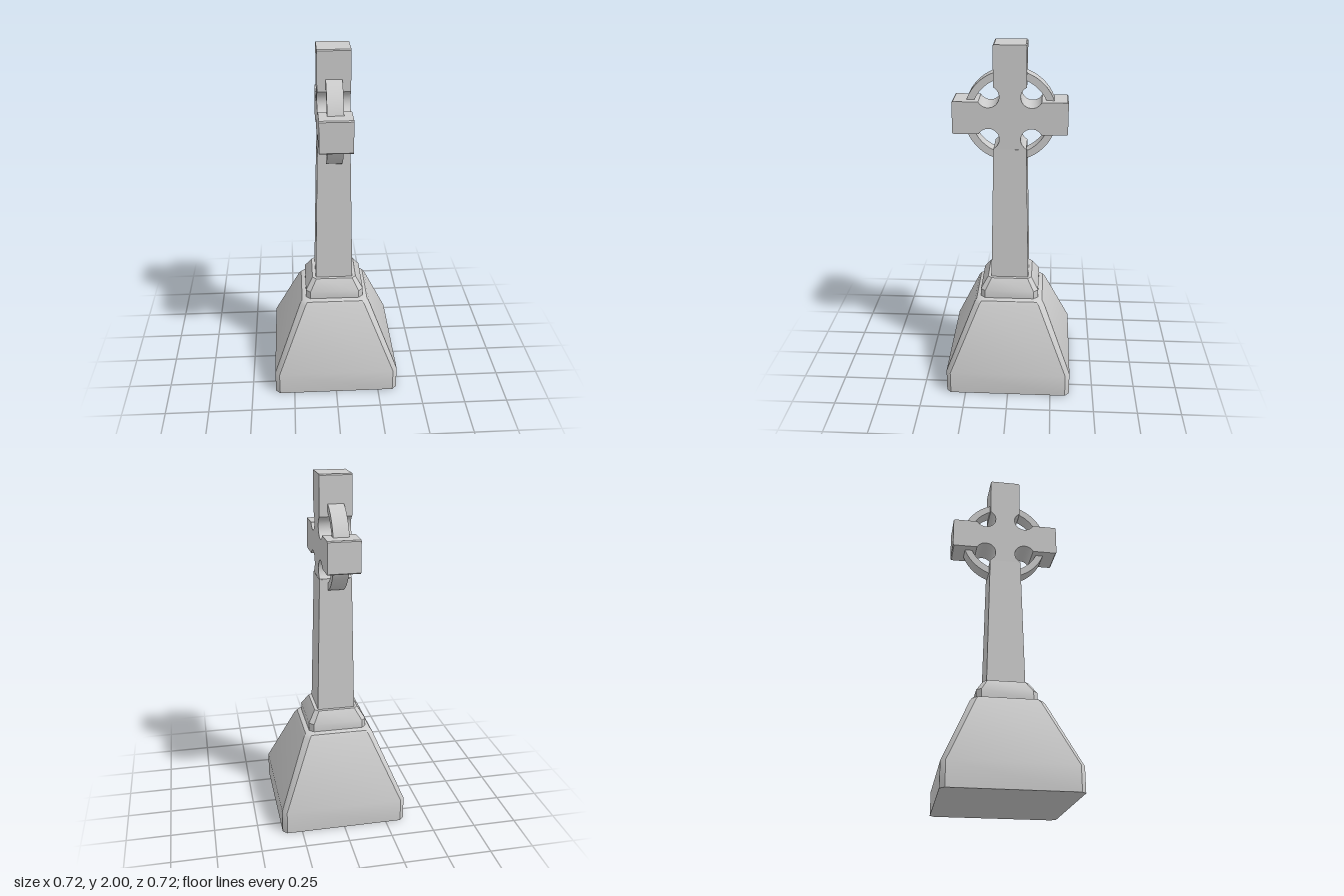
import * as THREE from 'three';
import { toCreasedNormals } from 'three/addons/utils/BufferGeometryUtils.js';

const material = new THREE.MeshStandardMaterial({ color: 0xcccccc });
const CREASE = 0.62;

function addPart(group, name, geometry) {
  const mesh = new THREE.Mesh(toCreasedNormals(geometry, CREASE), material);
  mesh.name = name;
  group.add(mesh);
  return mesh;
}

// Stacks square sections [y, half width, corner chamfer] into a closed solid
function loftSquare(sections) {
  const rings = sections.map(([y, h, c]) => {
    const ring = [];
    for (let k = 0; k < 4; k++) {
      const a = k * Math.PI / 2, cos = Math.cos(a), sin = Math.sin(a);
      const corner = c > 0 ? [[h, h - c], [h - c, h]] : [[h, h]];
      for (const [x, z] of corner) {
        ring.push(new THREE.Vector3(x * cos - z * sin, y, x * sin + z * cos));
      }
    }
    return ring;
  });
  const points = [];
  const n = rings[0].length, last = rings.length - 1;
  const bottom = new THREE.Vector3(0, sections[0][0], 0);
  const top = new THREE.Vector3(0, sections[last][0], 0);
  for (let i = 0; i < n; i++) {
    const j = (i + 1) % n;
    for (let r = 0; r < last; r++) {
      const lo = rings[r], hi = rings[r + 1];
      points.push(lo[i], hi[i], hi[j], lo[i], hi[j], lo[j]);
    }
    points.push(bottom, rings[0][i], rings[0][j]);
    points.push(top, rings[last][j], rings[last][i]);
  }
  return new THREE.BufferGeometry().setFromPoints(points);
}

// Extrudes a shape drawn in (z, y) evenly to both sides of x = 0
function extrudeAcross(shape, width, curveSegments = 24) {
  const g = new THREE.ExtrudeGeometry(shape, { depth: width, bevelEnabled: false, curveSegments });
  return g.translate(0, 0, -width / 2).rotateY(-Math.PI / 2);
}

// Four arms with round notches in the inner corners
function crossShape() {
  const w = 0.09, centre = 0.118, radius = 0.06;
  const start = Math.asin((w - centre) / radius);
  const end = -1.5 * Math.PI - start;
  const arms = [[0.315, 0.006], [0.395, 0.006], [0.315, 0.006], [0.175, 0]]; // length, chamfer
  const points = [];
  arms.forEach(([length, c], k) => {
    const arm = c > 0
      ? [[length - c, -w], [length, c - w], [length, w - c], [length - c, w]]
      : [[length, -w], [length, w]];
    for (let i = 0; i <= 16; i++) {
      const t = start + (end - start) * i / 16;
      arm.push([centre + radius * Math.cos(t), centre + radius * Math.sin(t)]);
    }
    for (const [u, v] of arm) {
      points.push(new THREE.Vector2(u, v).rotateAround(new THREE.Vector2(), k * Math.PI / 2));
    }
  });
  return new THREE.Shape(points);
}

export function createModel() {
  const group = new THREE.Group();
  group.name = 'ringedStoneCross';
  const crossY = 1.605;

  // Stepped foot
  addPart(group, 'base', loftSquare([
    [0, 0.362, 0.025], [0.135, 0.362, 0.025], [0.51, 0.205, 0.03], [0.53, 0.192, 0.03], [0.54, 0.165, 0.026],
  ]));
  addPart(group, 'plinth', loftSquare([
    [0.535, 0.168, 0.026], [0.585, 0.168, 0.026], [0.65, 0.127, 0.022],
  ]));

  // Tapered shaft
  addPart(group, 'shaft', loftSquare([[0.645, 0.108, 0], [1.43, 0.091, 0]]));

  // Cross head
  addPart(group, 'crossHead', extrudeAcross(crossShape(), 0.18)).position.y = crossY;

  // Ring through the arms
  const ring = new THREE.Shape().absarc(0, 0, 0.255, 0, Math.PI * 2, false);
  ring.holes.push(new THREE.Path().absarc(0, 0, 0.215, 0, Math.PI * 2, true));
  addPart(group, 'ring', extrudeAcross(ring, 0.088, 48)).position.y = crossY;

  return group;
}
